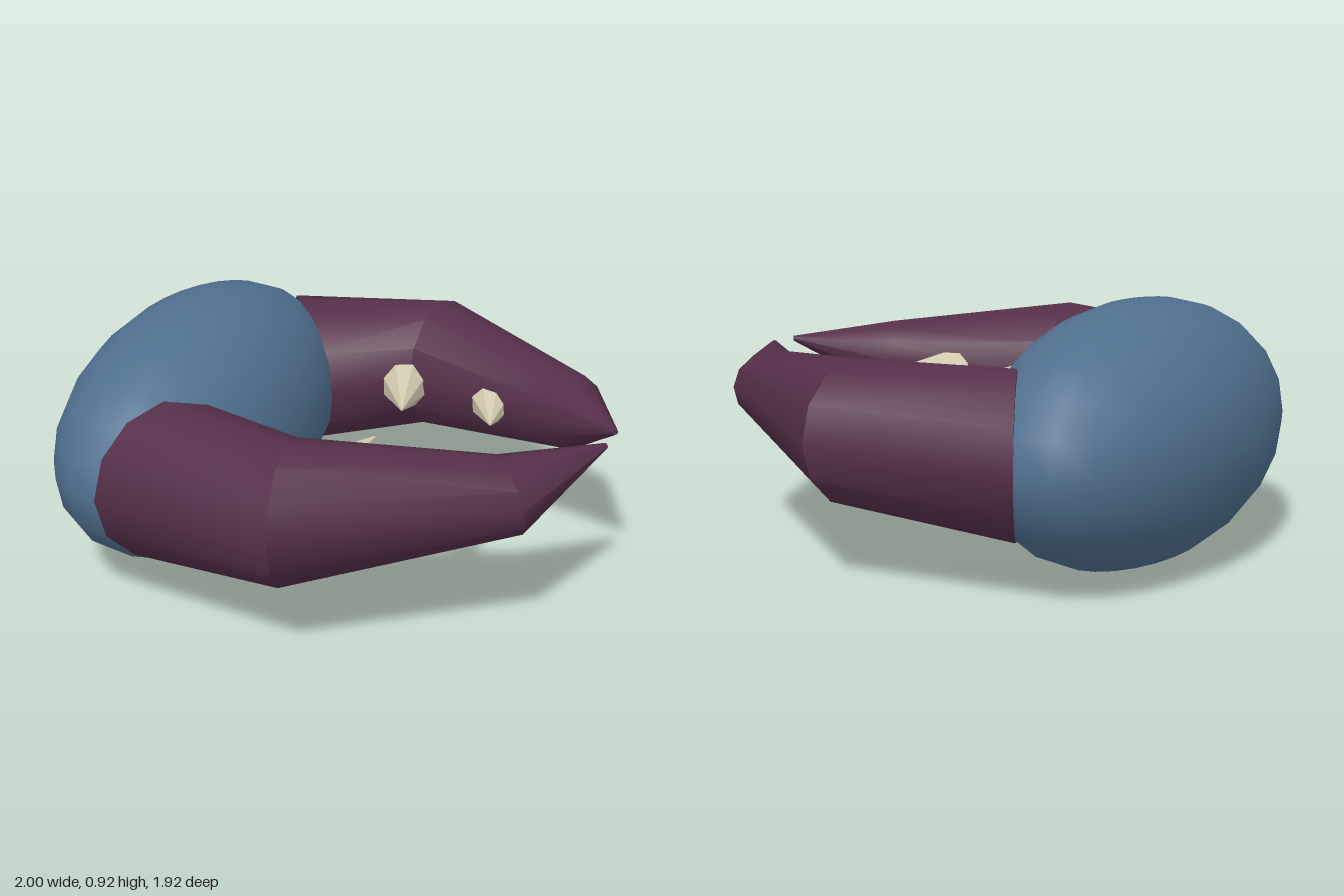
import * as THREE from 'three';
import { toCreasedNormals } from 'three/addons/utils/BufferGeometryUtils.js';

const SIDES = 12;

// Claw cross-sections: centre, sideways half-axis, upward half-axis
const CLAW_RINGS = [
  { c: [-0.43, 0.467, 0.56], u: [-0.14, 0, 0.255], v: [0, 0.29, 0] },
  { c: [0.105, 0.515, 0.718], u: [0.035, 0, 0.2425], v: [0, 0.25, 0] },
  { c: [0.752, 0.548, 0.37], u: [0.083, 0, 0.115], v: [-0.025, 0.135, 0.018] },
  { c: [0.988, 0.635, 0.06], u: [0.009, 0, 0.008], v: [0, 0.01, 0] },
];

// Spikes: base centre, tip, base radius
const SPIKES = [
  { base: [0.057, 0.5, 0.47], tip: [0.175, 0.553, 0.13], r: 0.089 },
  { base: [0.434, 0.52, 0.388], tip: [0.515, 0.553, 0.13], r: 0.075 },
];

// Closed tube through the rings, mirrored in z when side is -1
function clawGeometry(side) {
  const pos = [];
  const index = [];
  const tri = (a, b, c) => (side > 0 ? index.push(a, b, c) : index.push(a, c, b));
  for (const { c, u, v } of CLAW_RINGS) {
    for (let j = 0; j < SIDES; j++) {
      const t = (j / SIDES) * Math.PI * 2;
      const p = c.map((value, k) => value + u[k] * Math.cos(t) + v[k] * Math.sin(t));
      pos.push(p[0], p[1], p[2] * side);
    }
  }
  const last = CLAW_RINGS.length - 1;
  for (let i = 0; i < last; i++) {
    for (let j = 0; j < SIDES; j++) {
      const a = i * SIDES + j;
      const b = i * SIDES + ((j + 1) % SIDES);
      tri(a, a + SIDES, b);
      tri(b, a + SIDES, b + SIDES);
    }
  }
  // End caps
  for (let j = 1; j < SIDES - 1; j++) {
    tri(0, j, j + 1);
    const e = last * SIDES;
    tri(e, e + j + 1, e + j);
  }
  const geo = new THREE.BufferGeometry();
  geo.setAttribute('position', new THREE.Float32BufferAttribute(pos, 3));
  geo.setIndex(index);
  return toCreasedNormals(geo, 0.6);
}

// Eight-sided cone laid from base to tip
function spikeGeometry({ base, tip, r }, side) {
  const a = new THREE.Vector3(base[0], base[1], base[2] * side);
  const b = new THREE.Vector3(tip[0], tip[1], tip[2] * side);
  const axis = b.clone().sub(a);
  const length = axis.length();
  const geo = new THREE.CylinderGeometry(0.004, r, length, 8);
  geo.translate(0, length / 2, 0);
  geo.applyQuaternion(new THREE.Quaternion().setFromUnitVectors(
    new THREE.Vector3(0, 1, 0), axis.normalize()));
  geo.translate(a.x, a.y, a.z);
  return toCreasedNormals(geo, 0.6);
}

export function createModel() {
  const model = new THREE.Group();
  model.name = 'pincer';

  const blue = new THREE.MeshStandardMaterial({ color: 0x50708f });
  blue.name = 'slateBlue';
  const purple = new THREE.MeshStandardMaterial({ color: 0x552f49 });
  purple.name = 'darkPlum';
  const bone = new THREE.MeshStandardMaterial({ color: 0xd6ceb2 });
  bone.name = 'bone';

  const add = (name, geometry, material, parent = model) => {
    const mesh = new THREE.Mesh(geometry, material);
    mesh.name = name;
    parent.add(mesh);
    return mesh;
  };

  // Egg-shaped base
  const body = add('body', new THREE.SphereGeometry(1, 24, 12), blue);
  body.scale.set(0.423, 0.46, 0.815);
  body.position.set(-0.577, 0.462, 0);

  // Two mirrored claws with inner spikes
  for (const side of [1, -1]) {
    const claw = new THREE.Group();
    claw.name = side > 0 ? 'frontClaw' : 'backClaw';
    model.add(claw);
    add('clawShell', clawGeometry(side), purple, claw);
    SPIKES.forEach((spike, i) =>
      add(i ? 'outerSpike' : 'innerSpike', spikeGeometry(spike, side), bone, claw));
  }
  return model;
}
